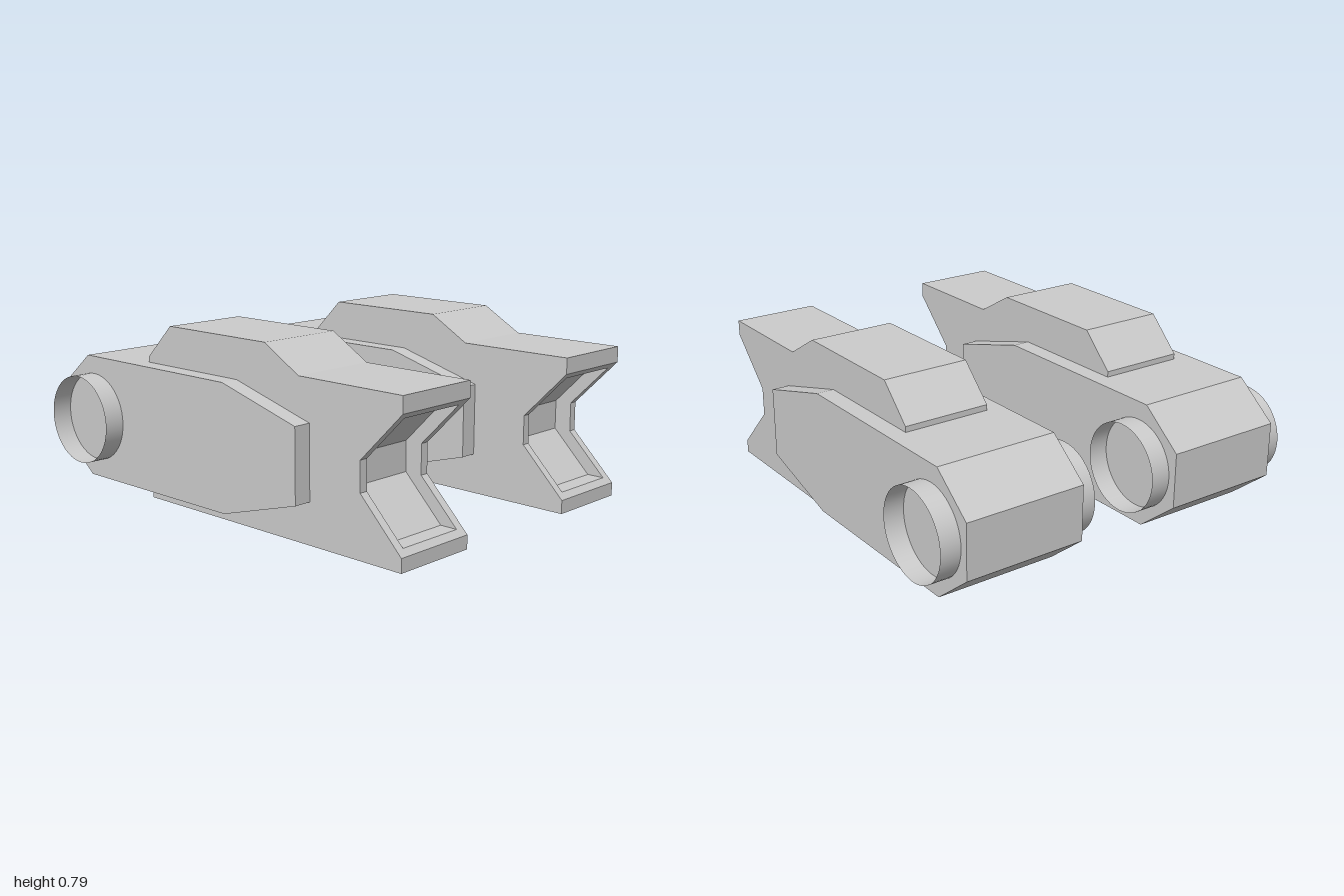
import * as THREE from 'three';

const CENTRE_X = 0.5225; // distance of each unit from the middle
const HALF_BODY = 0.1975;
const HALF_RECESS = 0.16;
const HALF_SIDE = 0.2775;
const HALF_TUBE = 0.37;

// Rear part of the core outline, as [z, y], shared by cheeks and middle
const ROOF_AND_BACK = [
  [1, 0.61], [1, 0.68], [0.46, 0.68], [0.27, 0.79], [-0.32, 0.79],
  [-0.47, 0.64], [-0.47, 0], [1, 0], [1, 0.06],
];
// Notched front edge, and the same notch sunk in between the cheeks
const NOTCH = [[0.79, 0.27], [0.79, 0.4]];
const SUNKEN_NOTCH = [
  [0.975, 0.085], [0.895, 0.085], [0.71, 0.27], [0.71, 0.4], [0.895, 0.585], [0.975, 0.585],
];
const SIDE_PLATE = [
  [0.52, 0.18], [0.52, 0.5], [0.1, 0.615], [-0.81, 0.615],
  [-1, 0.46], [-1, 0.215], [-0.81, 0.06], [0.1, 0.06],
];

// Extrude a [z, y] outline sideways from x0 to x1
function slab(name, outline, x0, x1, material) {
  const shape = new THREE.Shape(outline.map(([z, y]) => new THREE.Vector2(z, y)));
  const geometry = new THREE.ExtrudeGeometry(shape, { depth: x1 - x0, bevelEnabled: false });
  geometry.rotateY(-Math.PI / 2).translate(x1, 0, 0);
  const mesh = new THREE.Mesh(geometry, material);
  mesh.name = name;
  return mesh;
}

function createUnit(name, x, solid, thin) {
  const unit = new THREE.Group();
  unit.name = name;
  unit.position.x = x;

  // Core: recessed middle with a cheek on each side
  const cheek = [...ROOF_AND_BACK, ...NOTCH];
  unit.add(
    slab('coreMiddle', [...ROOF_AND_BACK, ...SUNKEN_NOTCH], -HALF_RECESS, HALF_RECESS, solid),
    slab('rightCheek', cheek, -HALF_BODY, -HALF_RECESS, solid),
    slab('leftCheek', cheek, HALF_RECESS, HALF_BODY, solid),
  );

  // Wider block that forms the side plates and the rear end
  unit.add(slab('sideBlock', SIDE_PLATE, -HALF_SIDE, HALF_SIDE, solid));

  // Thin open hub rings at the rear
  const length = HALF_TUBE - HALF_SIDE;
  for (const side of [-1, 1]) {
    const geometry = new THREE.CylinderGeometry(0.198, 0.198, length, 48, 1, true);
    geometry.rotateZ(Math.PI / 2);
    const ring = new THREE.Mesh(geometry, thin);
    ring.name = side < 0 ? 'rightHubRing' : 'leftHubRing';
    ring.position.set(side * (HALF_SIDE + length / 2), 0.338, -0.766);
    unit.add(ring);
  }
  return unit;
}

export function createModel() {
  const solid = new THREE.MeshStandardMaterial({ color: 0xcccccc });
  const thin = new THREE.MeshStandardMaterial({ color: 0xcccccc, side: THREE.DoubleSide });
  const model = new THREE.Group();
  model.name = 'pairedUnits';
  model.add(
    createUnit('rightUnit', -CENTRE_X, solid, thin),
    createUnit('leftUnit', CENTRE_X, solid, thin),
  );
  return model;
}
